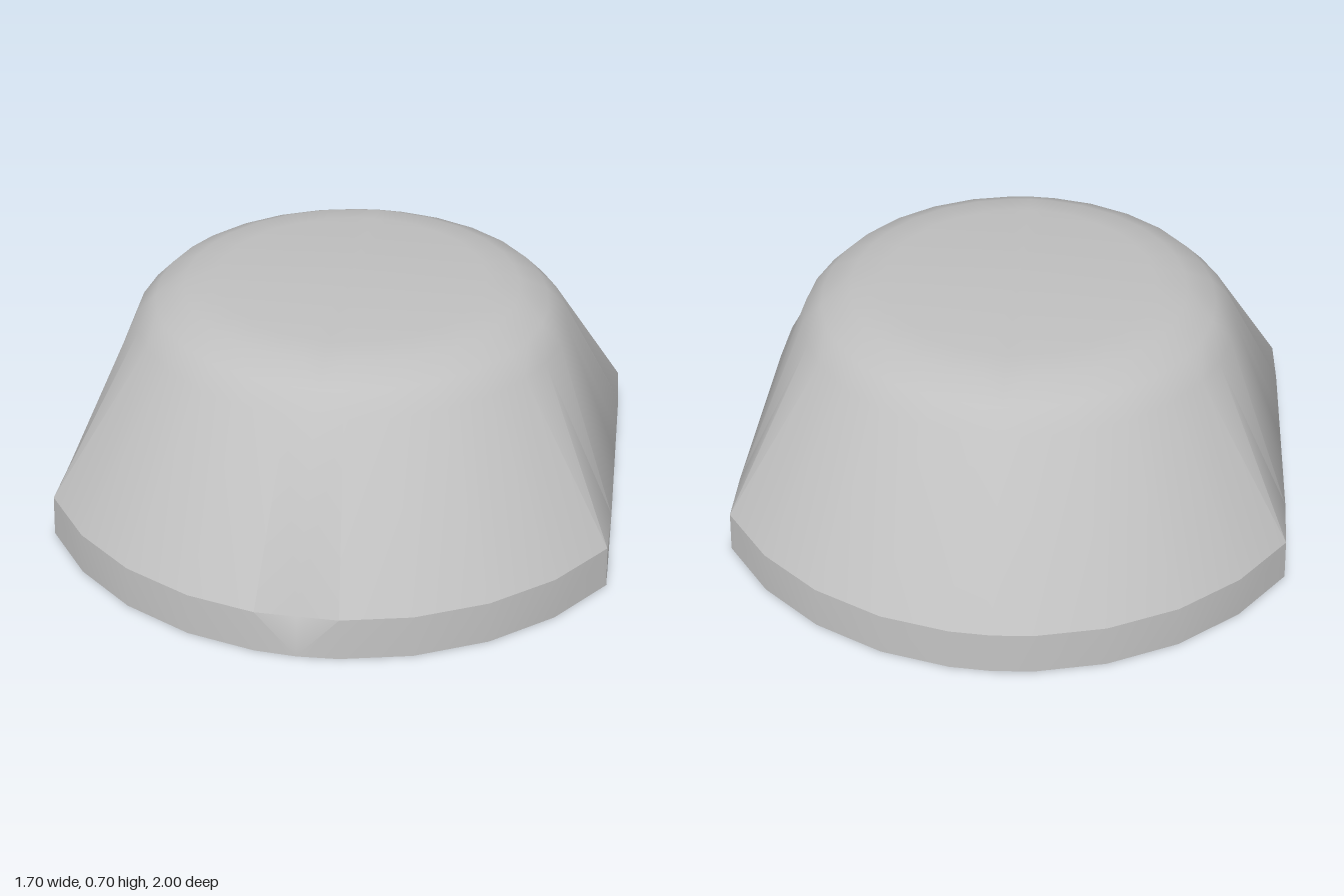
import * as THREE from 'three';
import { toCreasedNormals } from 'three/addons/utils/BufferGeometryUtils.js';

const FLAT = 0.85; // half width between the two cut sides
const CORNER = THREE.MathUtils.radToDeg(Math.acos(FLAT));

// Angles around the outline, mirrored into four quadrants (90 = front)
const quarter = [0, 11, 22, CORNER, 45, 58, 71, 83];
const half = [...quarter, 90, ...quarter.slice(1).reverse().map((a) => 180 - a)];
const angles = [...half, ...half.map((a) => a + 180)];

// Circle cut off by the two straight sides
function ring(radius, y) {
  return angles.map((deg) => {
    const a = THREE.MathUtils.degToRad(deg);
    const r = Math.min(radius, FLAT / Math.max(Math.abs(Math.cos(a)), 1e-6));
    return new THREE.Vector3(r * Math.cos(a), y, r * Math.sin(a));
  });
}

function bodyGeometry() {
  const profile = [
    [1, 0], [0.993, 0.13], [0.67, 0.585], [0.61, 0.645], [0.52, 0.685], [0.42, 0.7],
  ];
  const rings = profile.map(([r, y]) => ring(r, y));
  const n = angles.length;

  // Small sloped facet in the middle of the front rim
  const front = angles.indexOf(90);
  rings[1][front].z = rings[1][front - 1].z;

  const points = [];
  for (let i = 0; i < rings.length - 1; i++) {
    const low = rings[i], up = rings[i + 1];
    for (let j = 0; j < n; j++) {
      const k = (j + 1) % n;
      if (angles[j] % 180 >= 90) points.push(low[j], up[j], up[k], low[j], up[k], low[k]);
      else points.push(low[j], up[j], low[k], up[j], up[k], low[k]);
    }
  }

  // Flat top and underside
  const top = rings[rings.length - 1], base = rings[0];
  const topCentre = new THREE.Vector3(0, 0.7, 0), baseCentre = new THREE.Vector3();
  for (let j = 0; j < n; j++) {
    const k = (j + 1) % n;
    points.push(topCentre, top[k], top[j], baseCentre, base[j], base[k]);
  }
  const geometry = new THREE.BufferGeometry().setFromPoints(points);
  return toCreasedNormals(geometry, THREE.MathUtils.degToRad(30));
}

export function createModel() {
  const grey = new THREE.MeshStandardMaterial({ color: 0xc0c0c0 });
  grey.name = 'light grey';
  const body = new THREE.Mesh(bodyGeometry(), grey);
  body.name = 'domedBody';
  const group = new THREE.Group();
  group.name = 'roundedCap';
  group.add(body);
  return group;
}
